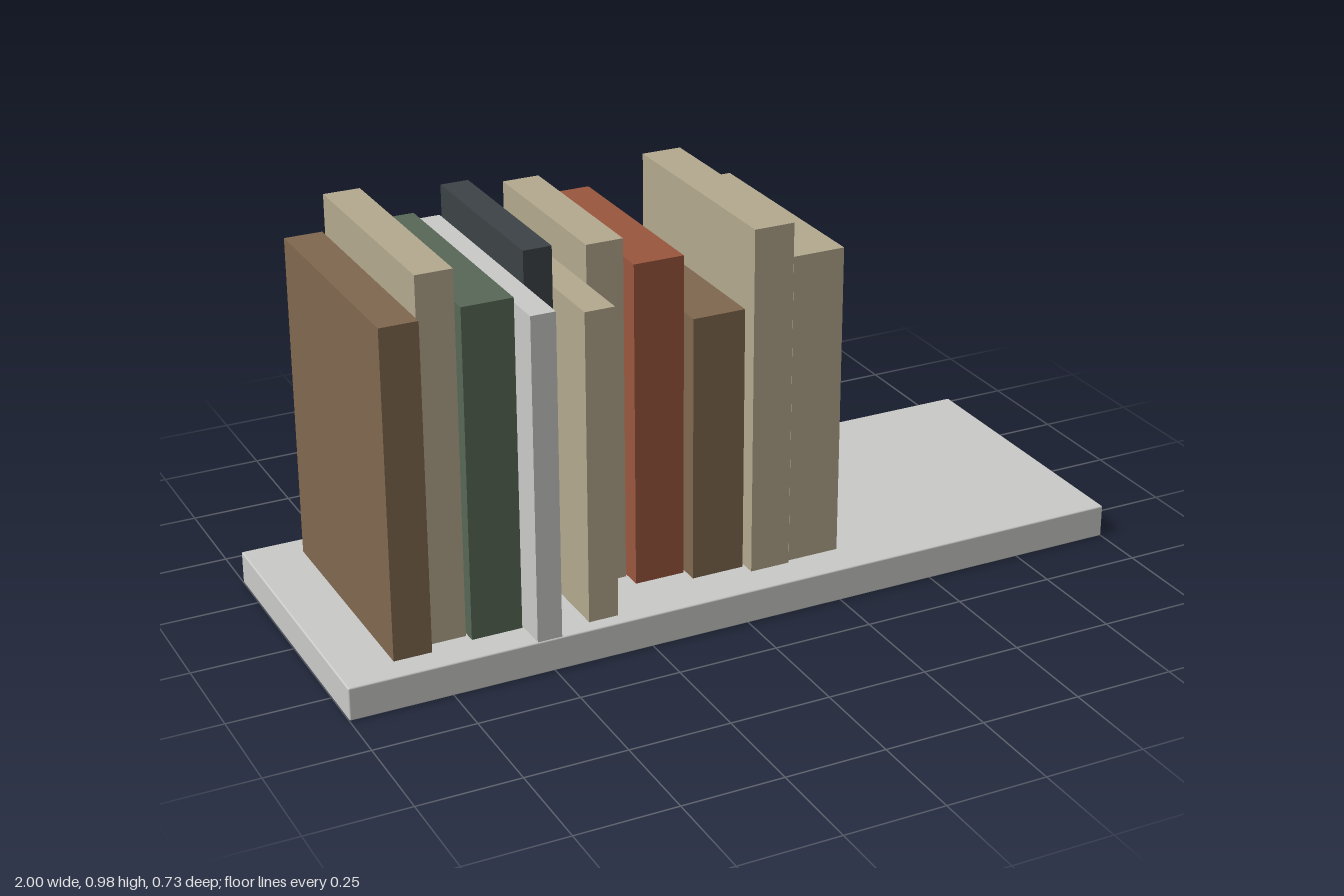
import * as THREE from 'three';
import { RoundedBoxGeometry } from 'three/addons/geometries/RoundedBoxGeometry.js';

const SHELF_TOP = 0.083;
const BOOK_BACK = -0.3;

const material = (name, color) => {
  const m = new THREE.MeshStandardMaterial({ color });
  m.name = name;
  return m;
};

export function createModel() {
  const mats = {
    paleGrey: material('paleGrey', 0xcacac8),
    brown: material('brown', 0x80684f),
    tan: material('tan', 0xb4a98f),
    green: material('green', 0x586856),
    charcoal: material('charcoal', 0x3c4346),
    rust: material('rust', 0x9a563e),
  };
  const group = new THREE.Group();
  group.name = 'bookShelf';

  // Shelf board with slightly softened edges
  const shelf = new THREE.Mesh(new RoundedBoxGeometry(2, SHELF_TOP, 0.73, 2, 0.004), mats.paleGrey);
  shelf.name = 'shelfBoard';
  shelf.position.y = SHELF_TOP / 2;
  group.add(shelf);

  // Row of books: colour, left x, right x, top y, front z; backs are aligned
  const books = [
    ['brown', -0.866, -0.773, 0.893, 0.297],
    ['tan', -0.766, -0.676, 0.984, 0.262],
    ['green', -0.671, -0.546, 0.901, 0.285],
    ['paleGrey', -0.542, -0.481, 0.885, 0.363],
    ['charcoal', -0.476, -0.406, 0.96, 0.178],
    ['tan', -0.398, -0.324, 0.855, 0.33],
    ['tan', -0.317, -0.225, 0.942, 0.166],
    ['rust', -0.22, -0.094, 0.893, 0.21],
    ['brown', -0.088, 0.045, 0.749, 0.247],
    ['tan', 0.052, 0.153, 0.953, 0.278],
    ['tan', 0.159, 0.291, 0.865, 0.268],
  ];
  const row = new THREE.Group();
  row.name = 'books';
  books.forEach(([color, x0, x1, top, front], i) => {
    const book = new THREE.Mesh(
      new THREE.BoxGeometry(x1 - x0, top - SHELF_TOP, front - BOOK_BACK), mats[color]);
    book.name = `book${i + 1}`;
    book.position.set((x0 + x1) / 2, (top + SHELF_TOP) / 2, (front + BOOK_BACK) / 2);
    row.add(book);
  });
  group.add(row);
  return group;
}
